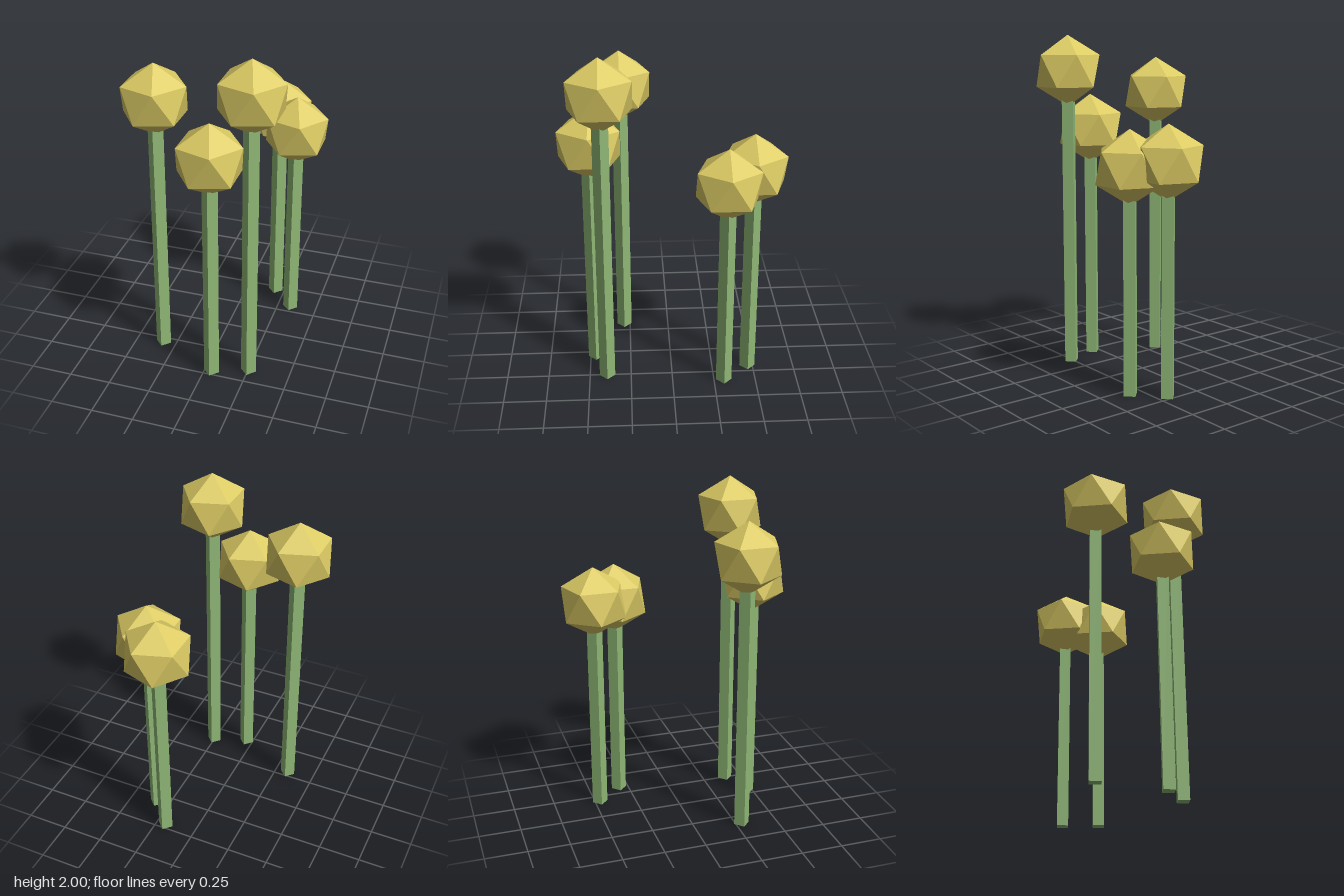
import * as THREE from 'three';

const HEAD_RADIUS = 0.21;
const STEM_RADIUS = 0.047;

// x, z and overall height of each flower
const FLOWERS = [
  [-0.33, 0.287, 1.866],
  [0.253, 0.394, 2.0],
  [0.043, 0.466, 1.643],
  [0.19, -0.467, 1.532],
  [0.331, -0.309, 1.5],
];

export function createModel() {
  const model = new THREE.Group();
  model.name = 'flowerCluster';

  const headMaterial = new THREE.MeshStandardMaterial({ color: 0xdccb64, flatShading: true });
  const stemMaterial = new THREE.MeshStandardMaterial({ color: 0x8fb875, flatShading: true });

  // Icosahedron tipped so that one corner points straight up
  const headGeometry = new THREE.IcosahedronGeometry(HEAD_RADIUS, 0);
  headGeometry.rotateZ(-Math.atan(2 / (1 + Math.sqrt(5))));

  FLOWERS.forEach(([x, z, height], i) => {
    const flower = new THREE.Group();
    flower.name = `flower${i + 1}`;
    flower.position.set(x, 0, z);
    const centerY = height - HEAD_RADIUS;

    // Four-sided stem, corners facing front and sides, running into the head
    const stem = new THREE.Mesh(
      new THREE.CylinderGeometry(STEM_RADIUS, STEM_RADIUS, centerY, 4),
      stemMaterial
    );
    stem.name = 'stem';
    stem.position.y = centerY / 2;

    const head = new THREE.Mesh(headGeometry, headMaterial);
    head.name = 'flowerHead';
    head.position.y = centerY;

    flower.add(stem, head);
    model.add(flower);
  });

  return model;
}
